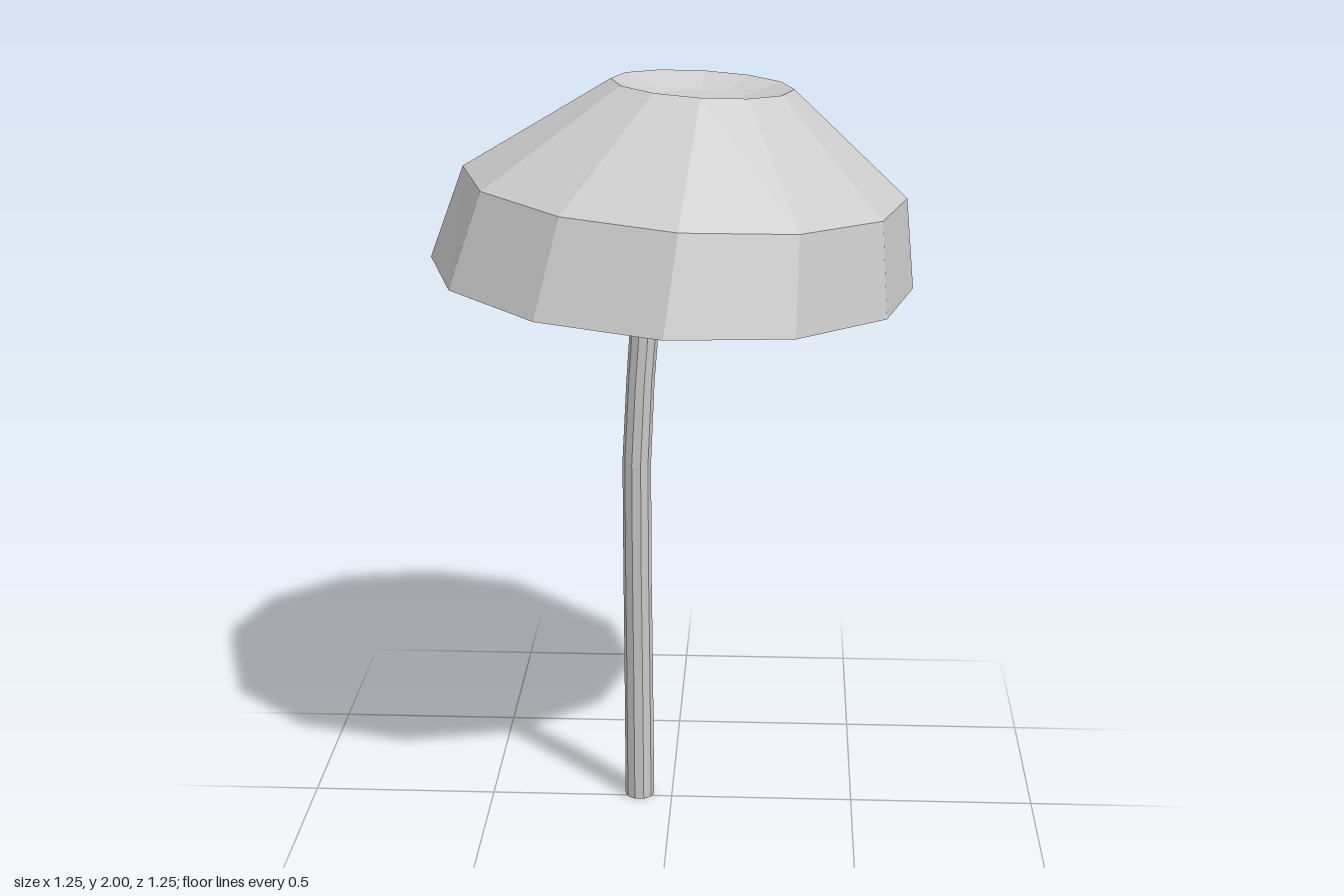
import * as THREE from 'three';

const material = new THREE.MeshStandardMaterial({ color: 0xcccccc, flatShading: true });

// Skins a stack of rings: [centre x, y, z, radius, slope along x, slope along z]
function loft(rings, sides, name) {
  const position = [];
  const index = [];
  for (const [cx, cy, cz, r, sx = 0, sz = 0] of rings) {
    for (let i = 0; i < sides; i++) {
      const a = (i / sides) * Math.PI * 2 - 0.015;
      const dx = r * Math.cos(a);
      const dz = r * Math.sin(a);
      position.push(cx + dx, cy + sx * dx + sz * dz, cz + dz);
    }
  }
  for (let k = 0; k < rings.length - 1; k++) {
    for (let i = 0; i < sides; i++) {
      const a0 = k * sides + i;
      const a1 = k * sides + (i + 1) % sides;
      const b0 = a0 + sides;
      const b1 = a1 + sides;
      // Skip the collapsed triangle where a ring closes to a point
      if (rings[k + 1][3] > 0) index.push(a0, b0, b1);
      else index.push(a0, b0, a1);
      if (rings[k][3] > 0 && rings[k + 1][3] > 0) index.push(a0, b1, a1);
    }
  }
  const indexed = new THREE.BufferGeometry();
  indexed.setAttribute('position', new THREE.Float32BufferAttribute(position, 3));
  indexed.setIndex(index);
  const geometry = indexed.toNonIndexed();
  geometry.computeVertexNormals();
  const mesh = new THREE.Mesh(geometry, material);
  mesh.name = name;
  return mesh;
}

export function createModel() {
  const group = new THREE.Group();
  group.name = 'mushroom';

  // Cap: hollow underside, rim, slanted band, sloping crown and dished top
  group.add(loft([
    [0.01, 1.595, -0.01, 0, -0.06, -0.015],
    [0.01, 1.595, -0.01, 0.335, -0.06, -0.015],
    [0, 1.505, 0, 0.627, -0.06, -0.016],
    [0.033, 1.74, -0.018, 0.573, -0.068, -0.005],
    [0.076, 1.987, -0.06, 0.235, -0.055, 0.015],
    [0.073, 1.95, -0.066, 0.123, -0.055, 0.015],
    [0.073, 1.95, -0.066, 0, -0.055, 0.015],
  ], 12, 'cap'));

  // Stem: gently bent, flaring where it enters the cap
  group.add(loft([
    [-0.09, 0, -0.017, 0],
    [-0.09, 0, -0.017, 0.04],
    [-0.091, 0.4, -0.004, 0.039],
    [-0.092, 0.7, 0.016, 0.038],
    [-0.091, 1.0, 0.036, 0.038],
    [-0.08, 1.22, 0.045, 0.037],
    [-0.065, 1.42, 0.05, 0.038],
    [-0.052, 1.52, 0.051, 0.058],
    [-0.046, 1.62, 0.051, 0.075],
    [-0.046, 1.62, 0.051, 0],
  ], 10, 'stem'));

  return group;
}
